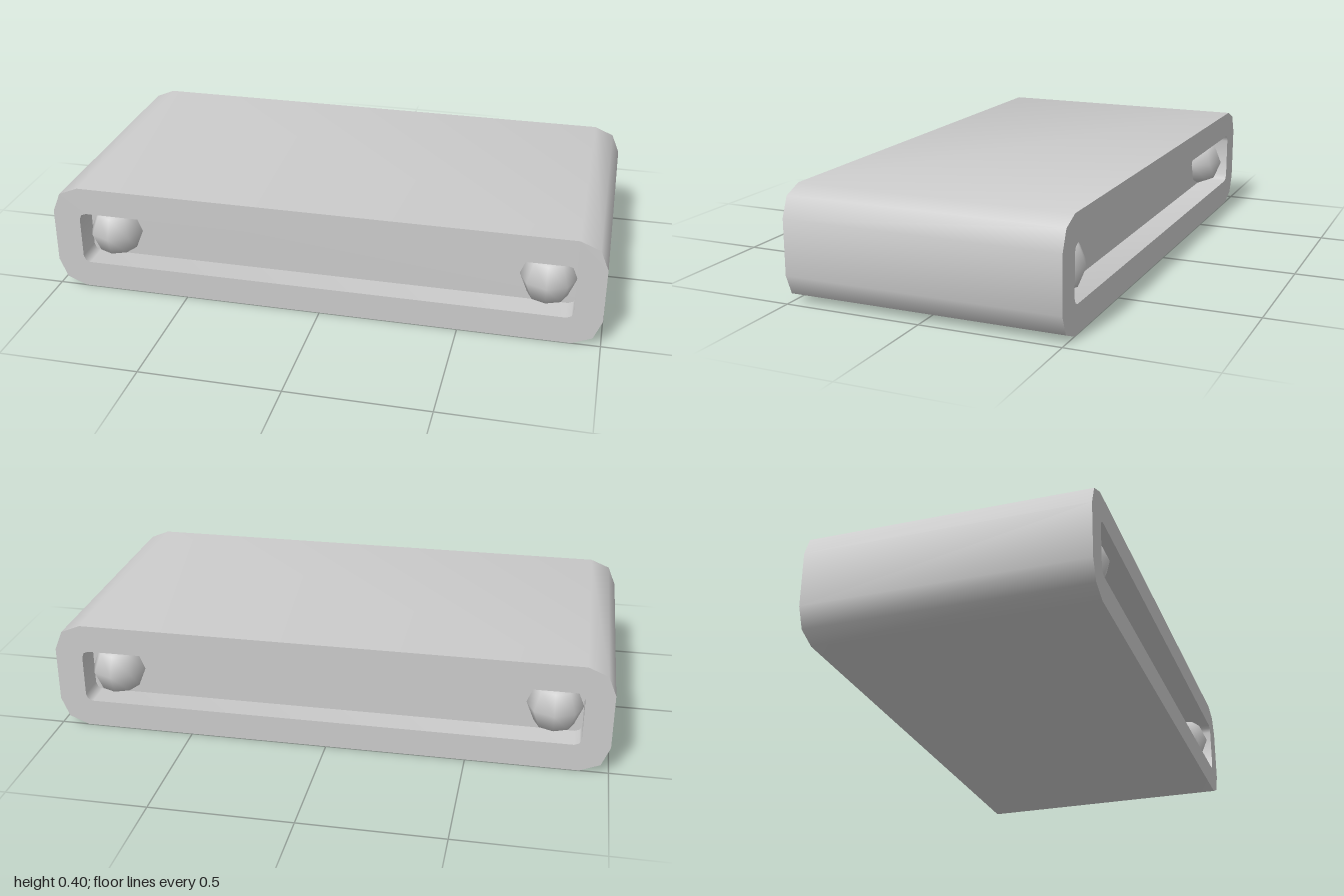
import * as THREE from 'three';
import { toCreasedNormals } from 'three/addons/utils/BufferGeometryUtils.js';

const MID = 0.2;      // height of the centre line
const HALF_D = 0.5;   // half depth of the body
const RECESS = 0.1;   // depth of the slot at each end

// Rectangle centred on the origin with rounded corners
function roundedRect(Cls, hw, hh, r) {
  const s = new Cls();
  const cx = hw - r, cy = hh - r, q = Math.PI / 2;
  s.absarc(cx, cy, r, 0, q, false);
  s.absarc(-cx, cy, r, q, 2 * q, false);
  s.absarc(-cx, -cy, r, 2 * q, 3 * q, false);
  s.absarc(cx, -cy, r, 3 * q, 4 * q, false);
  s.closePath();
  return s;
}

export function createModel() {
  const model = new THREE.Group();
  model.name = 'slottedBlock';
  const material = new THREE.MeshStandardMaterial({ color: 0xcccccc });

  function add(name, geometry, parent, x, y, z) {
    const mesh = new THREE.Mesh(geometry, material);
    mesh.name = name;
    mesh.position.set(x, y, z);
    parent.add(mesh);
    return mesh;
  }

  // Body: rounded block with a long slot, two facets per corner
  const outline = roundedRect(THREE.Shape, 1, 0.2, 0.1);
  outline.holes.push(roundedRect(THREE.Path, 0.9, 0.1, 0.025));
  const body = new THREE.ExtrudeGeometry(outline, {
    depth: 2 * HALF_D, bevelEnabled: false, curveSegments: 1,
  });
  add('body', toCreasedNormals(body, 0.9), model, 0, MID, -HALF_D);

  // Each end: a panel closing the slot and two round studs set into it
  const panel = new THREE.ShapeGeometry(roundedRect(THREE.Shape, 0.9, 0.1, 0.025), 1);
  const stud = new THREE.SphereGeometry(0.1, 8, 4);
  for (const [name, angle] of [['front', 0], ['back', Math.PI]]) {
    const end = new THREE.Group();
    end.name = name + 'End';
    end.rotation.y = angle;
    add(name + 'SlotPanel', panel, end, 0, MID, HALF_D - RECESS);
    for (const side of [-1, 1]) {
      add(name + 'Stud', stud, end, side * 0.8, MID, HALF_D - RECESS);
    }
    model.add(end);
  }
  return model;
}
